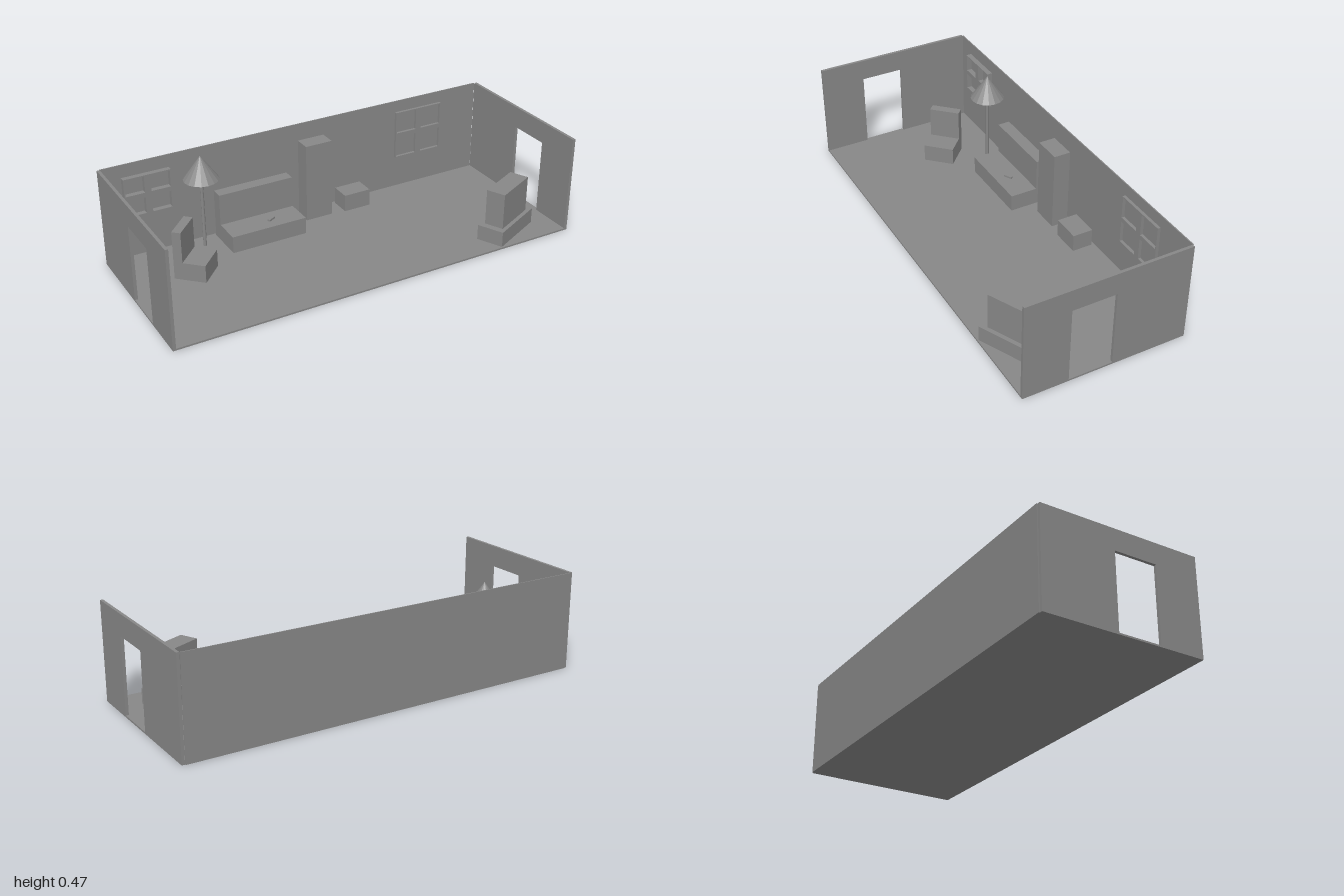
import * as THREE from 'three';

const material = new THREE.MeshStandardMaterial({ color: 0x878787, flatShading: true });

function part(name, geometry, parent) {
  const mesh = new THREE.Mesh(geometry, material);
  mesh.name = name;
  parent.add(mesh);
  return mesh;
}

// Box given by its limits along each axis
function block(name, [x0, x1], [y0, y1], [z0, z1], parent) {
  const mesh = part(name, new THREE.BoxGeometry(x1 - x0, y1 - y0, z1 - z0), parent);
  mesh.position.set((x0 + x1) / 2, (y0 + y1) / 2, (z0 + z1) / 2);
  return mesh;
}

function rect(Type, x0, x1, y0, y1) {
  return new Type([[x0, y0], [x1, y0], [x1, y1], [x0, y1]].map(([x, y]) => new THREE.Vector2(x, y)));
}

function group(name, parent, x = 0, z = 0, angle = 0) {
  const g = new THREE.Group();
  g.name = name;
  g.position.set(x, 0, z);
  g.rotation.y = angle;
  parent.add(g);
  return g;
}

const FLOOR = 0.008, HEIGHT = 0.47, BACK = -0.384, WALL = 0.014;

// Side wall with a doorway, drawn in (-z, y) and extruded along x
function sideWall(name, x, parent) {
  const shape = rect(THREE.Shape, -0.389, -BACK, 0, HEIGHT);
  shape.holes.push(rect(THREE.Path, -0.176, 0.03, FLOOR, 0.368));
  const geometry = new THREE.ExtrudeGeometry(shape, { depth: WALL, bevelEnabled: false });
  const wall = part(name, geometry, parent);
  wall.rotation.y = Math.PI / 2;
  wall.position.x = x;
}

// Window frame with two by two openings, standing off the back wall
function windowFrame(name, [x0, x1], [y0, y1], depth, parent) {
  const shape = rect(THREE.Shape, x0, x1, y0, y1);
  const border = 0.005, cx = (x0 + x1) / 2, cy = (y0 + y1) / 2;
  for (const [a, b] of [[x0 + border, cx - 0.015], [cx + 0.015, x1 - border]])
    for (const [c, d] of [[y0 + border, cy - 0.011], [cy + 0.011, y1 - border]])
      shape.holes.push(rect(THREE.Path, a, b, c, d));
  const geometry = new THREE.ExtrudeGeometry(shape, { depth, bevelEnabled: false });
  part(name, geometry, parent).position.z = BACK;
}

export function createModel() {
  const model = new THREE.Group();
  model.name = 'livingRoom';

  // Room shell
  block('floor', [-1, 1], [0, FLOOR], [BACK, 0.389], model);
  block('backWall', [-0.987, 0.985], [0, HEIGHT], [-0.389, BACK], model);
  sideWall('leftWall', 1 - WALL, model);
  sideWall('rightWall', -1, model);
  windowFrame('largeWindow', [0.516, 0.776], [0.17, 0.412], 0.014, model);
  windowFrame('smallWindow', [-0.896, -0.672], [0.216, 0.408], 0.026, model);

  // Sofa with a remote control on its seat
  const sofa = group('sofa', model);
  block('sofaSeat', [-0.468, -0.094], [FLOOR, 0.09], [-0.369, -0.177], sofa);
  block('sofaBack', [-0.468, -0.094], [0.09, 0.242], [-0.369, -0.31], sofa);
  const remote = block('remoteControl', [-0.262, -0.222], [0.09, 0.099], [-0.248, -0.234], sofa);
  remote.rotation.y = 0.5;

  // Cabinet and side table
  block('cabinet', [-0.032, 0.104], [FLOOR, 0.396], [-0.363, -0.282], model);
  block('sideTable', [0.171, 0.308], [FLOOR, 0.092], [-0.369, -0.271], model);

  // Armchair turned towards the room
  const chair = group('armchair', model, -0.681, -0.109, 0.8);
  block('chairSeat', [-0.074, 0.074], [FLOOR, 0.093], [-0.074, 0.074], chair);
  block('chairBack', [-0.074, 0.074], [0.093, 0.242], [-0.074, -0.032], chair);

  // Television on a low stand
  const tv = group('television', model, 0.73, 0.263, 0.44);
  block('tvStand', [-0.144, 0.144], [FLOOR, 0.082], [-0.065, 0.065], tv);
  block('tvSet', [-0.112, 0.112], [0.082, 0.256], [-0.046, 0.046], tv);

  // Floor lamp
  const lamp = group('floorLamp', model, -0.556, -0.295);
  part('lampPole', new THREE.CylinderGeometry(0.008, 0.008, 0.345, 12), lamp).position.y = 0.1875;
  part('lampShade', new THREE.ConeGeometry(0.082, 0.115, 16), lamp).position.y = 0.4155;

  return model;
}
